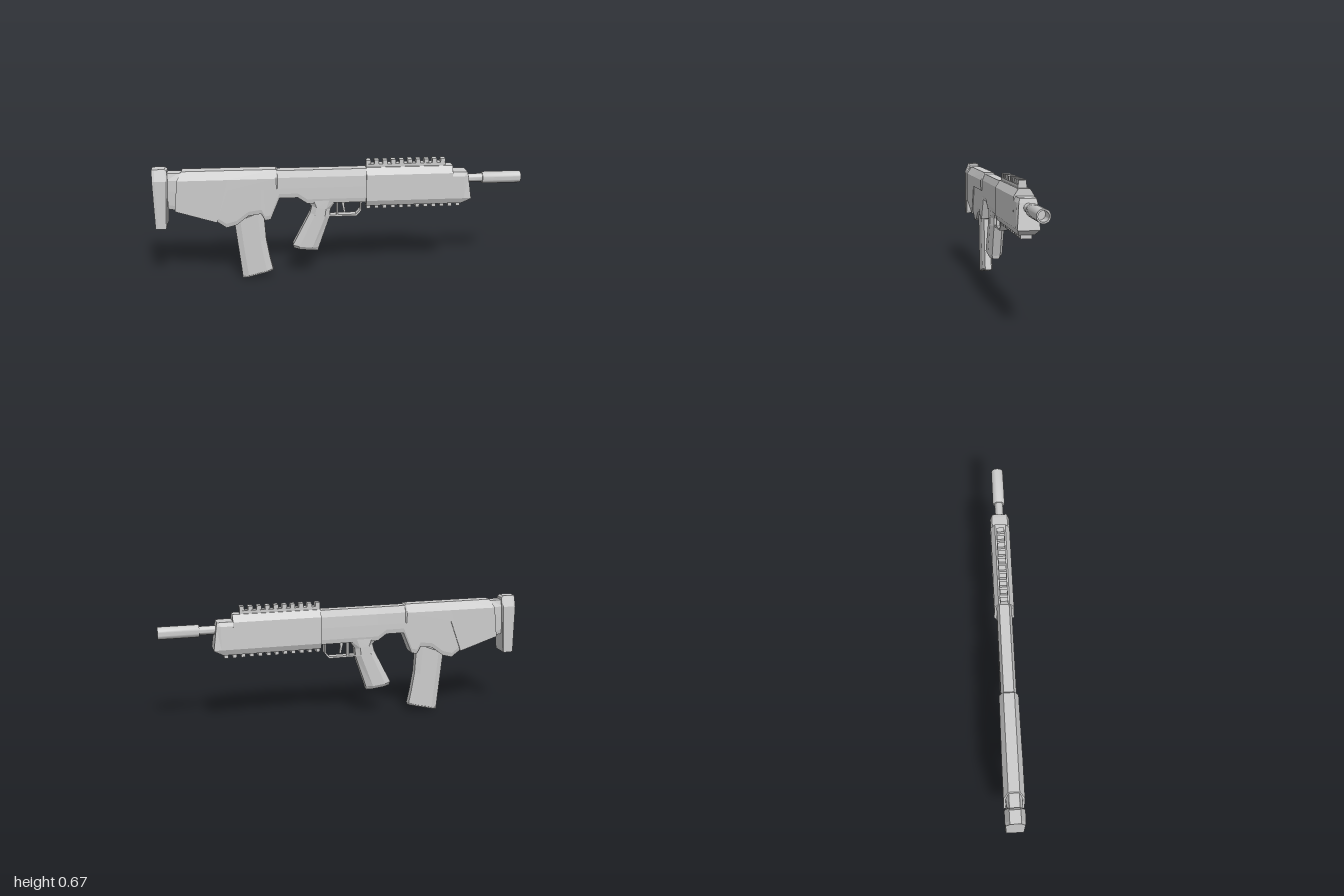
import * as THREE from 'three';
import { toCreasedNormals } from 'three/addons/utils/BufferGeometryUtils.js';

const material = new THREE.MeshStandardMaterial({ color: 0xcccccc });

// Symmetric solid from a grid of [x, y, halfWidth]: columns run back to front, rows run upwards.
function solid(name, grid) {
  const nc = grid.length, nr = grid[0].length, pos = [];
  const at = (i, j, s) => { const [x, y, w] = grid[i][j]; return [x, y, s * w]; };
  const quad = (a, b, c, d) => pos.push(...a, ...b, ...c, ...a, ...c, ...d);
  for (let i = 0; i < nc - 1; i++) {
    for (let j = 0; j < nr - 1; j++) {
      quad(at(i, j, 1), at(i + 1, j, 1), at(i + 1, j + 1, 1), at(i, j + 1, 1));
      quad(at(i, j, -1), at(i, j + 1, -1), at(i + 1, j + 1, -1), at(i + 1, j, -1));
    }
    const t = nr - 1;
    quad(at(i, 0, -1), at(i + 1, 0, -1), at(i + 1, 0, 1), at(i, 0, 1));
    quad(at(i, t, 1), at(i + 1, t, 1), at(i + 1, t, -1), at(i, t, -1));
  }
  for (let j = 0; j < nr - 1; j++) {
    const e = nc - 1;
    quad(at(0, j, -1), at(0, j, 1), at(0, j + 1, 1), at(0, j + 1, -1));
    quad(at(e, j, 1), at(e, j, -1), at(e, j + 1, -1), at(e, j + 1, 1));
  }
  const geo = new THREE.BufferGeometry();
  geo.setAttribute('position', new THREE.Float32BufferAttribute(pos, 3));
  geo.computeVertexNormals();
  const mesh = new THREE.Mesh(geo, material);
  mesh.name = name;
  return mesh;
}

// Four-column solid with chamfered front and back edges; rows are [xBack, yBack, xFront, yFront, halfWidth].
function chamfered(name, rows, cut, thin) {
  const cols = [0, cut, 1 - cut, 1].map((t, k) => rows.map(([x0, y0, x1, y1, w]) =>
    [x0 + (x1 - x0) * t, y0 + (y1 - y0) * t, k % 3 ? w : w * thin]));
  return solid(name, cols);
}

function box(name, x0, x1, y0, y1, w) {
  const mesh = new THREE.Mesh(new THREE.BoxGeometry(x1 - x0, y1 - y0, 2 * w), material);
  mesh.position.set((x0 + x1) / 2, (y0 + y1) / 2, 0);
  mesh.name = name;
  return mesh;
}

// Turned part along x from [radius, x] points.
function turned(name, points) {
  const lathe = new THREE.LatheGeometry(points.map(p => new THREE.Vector2(...p)), 24);
  const mesh = new THREE.Mesh(toCreasedNormals(lathe, 0.6), material);
  mesh.rotation.z = -Math.PI / 2;
  mesh.position.y = 0.55;
  mesh.name = name;
  return mesh;
}

export function createModel() {
  const g = new THREE.Group();

  // Butt pad
  g.add(solid('buttPad', [
    [[-1, 0.32, 0.046], [-1, 0.59, 0.048], [-1, 0.65, 0.026]],
    [[-0.985, 0.32, 0.05], [-0.985, 0.59, 0.052], [-0.985, 0.65, 0.028]],
    [[-0.943, 0.32, 0.05], [-0.925, 0.59, 0.052], [-0.932, 0.65, 0.028]],
    [[-0.938, 0.335, 0.046], [-0.918, 0.585, 0.046], [-0.921, 0.64, 0.026]],
  ]));

  // Stock and receiver, following the lower outline [x, yBottom, halfWidth]
  const outline = [[-0.925, 0.43, 0.038], [-0.86, 0.42, 0.045], [-0.67, 0.352, 0.048], [-0.62, 0.315, 0.048],
    [-0.565, 0.33, 0.048], [-0.5, 0.38, 0.048], [-0.43, 0.39, 0.048], [-0.41, 0.35, 0.046], [-0.38, 0.355, 0.045],
    [-0.33, 0.475, 0.042], [-0.23, 0.475, 0.042], [-0.18, 0.44, 0.042], [0.15, 0.44, 0.042]];
  g.add(solid('receiver', outline.map(([x, y, w]) =>
    [[x, y, w * 0.9], [x, y + 0.025, w], [x, 0.53, w], [x, 0.59, w * 0.95], [x, 0.627, 0.026]])));

  // Raised cheek panel
  g.add(solid('cheekPanel', [
    [[-0.89, 0.42, 0.053], [-0.87, 0.59, 0.053], [-0.845, 0.635, 0.028]],
    [[-0.67, 0.35, 0.054], [-0.67, 0.59, 0.053], [-0.67, 0.635, 0.028]],
    [[-0.605, 0.53, 0.053], [-0.605, 0.59, 0.052], [-0.605, 0.635, 0.028]],
    [[-0.345, 0.53, 0.05], [-0.345, 0.59, 0.05], [-0.345, 0.635, 0.028]],
    [[-0.338, 0.535, 0.044], [-0.338, 0.59, 0.044], [-0.338, 0.627, 0.027]],
  ]));

  // Curved magazine
  g.add(chamfered('magazine', [
    [-0.545, 0.003, -0.375, 0.045, 0.031], [-0.553, 0.09, -0.391, 0.125, 0.031],
    [-0.564, 0.2, -0.408, 0.23, 0.031], [-0.578, 0.34, -0.418, 0.4, 0.031],
  ], 0.2, 0.6));
  g.add(chamfered('magazineBase', [
    [-0.546, 0, -0.374, 0.042, 0.022], [-0.547, 0.01, -0.375, 0.052, 0.032],
  ], 0.2, 0.6));

  // Pistol grip
  g.add(chamfered('grip', [
    [-0.255, 0.172, -0.122, 0.156, 0.03], [-0.262, 0.192, -0.118, 0.176, 0.042],
    [-0.165, 0.38, -0.057, 0.355, 0.042], [-0.155, 0.42, -0.053, 0.4, 0.042],
    [-0.19, 0.46, -0.015, 0.455, 0.04],
  ], 0.25, 0.55));

  // Trigger and guard
  const guard = [[-0.06, 0.353, -0.06, 0.363], [0.092, 0.353, 0.088, 0.363], [0.12, 0.385, 0.111, 0.389],
    [0.12, 0.45, 0.111, 0.45]];
  g.add(solid('triggerGuard', guard.map(([a, b, c, d]) => [[a, b, 0.02], [c, d, 0.02]])));
  g.add(box('guardPost', -0.02, -0.01, 0.36, 0.45, 0.018));
  g.add(solid('trigger', [
    [[0.022, 0.372, 0.007], [0.014, 0.41, 0.007], [0.005, 0.45, 0.007]],
    [[0.032, 0.375, 0.007], [0.026, 0.41, 0.007], [0.03, 0.45, 0.007]],
  ]));

  // Handguard and its nose
  g.add(solid('handguard', [0.142, 0.615].map(x =>
    [[x, 0.418, 0.04], [x, 0.45, 0.055], [x, 0.595, 0.052], [x, 0.632, 0.029]])));
  g.add(solid('handguardNose', [
    [[0.61, 0.418, 0.04], [0.61, 0.45, 0.055], [0.61, 0.575, 0.052], [0.61, 0.597, 0.042]],
    [[0.67, 0.418, 0.04], [0.68, 0.45, 0.055], [0.68, 0.575, 0.052], [0.68, 0.597, 0.042]],
    [[0.72, 0.446, 0.053], [0.72, 0.45, 0.055], [0.702, 0.575, 0.045], [0.698, 0.595, 0.04]],
  ]));

  // Toothed rails above and below
  g.add(box('topRail', 0.142, 0.575, 0.62, 0.648, 0.022));
  for (let i = 0; i < 10; i++) {
    const x = 0.142 + i * 0.0453;
    g.add(box('topRailTooth', x, x + 0.025, 0.645, 0.67, 0.02));
  }
  for (let i = 0; i < 12; i++) {
    const x = 0.145 + i * 0.0453;
    g.add(box('bottomRailTooth', x, x + 0.022, 0.398, 0.422, 0.028));
  }

  // Barrel and hollow muzzle
  g.add(turned('barrel', [[0.023, 0.68], [0.023, 0.8]]));
  g.add(turned('muzzle', [[0, 0.787], [0.03, 0.787], [0.033, 0.792], [0.033, 1], [0.025, 1], [0.025, 0.93], [0, 0.93]]));
  return g;
}
